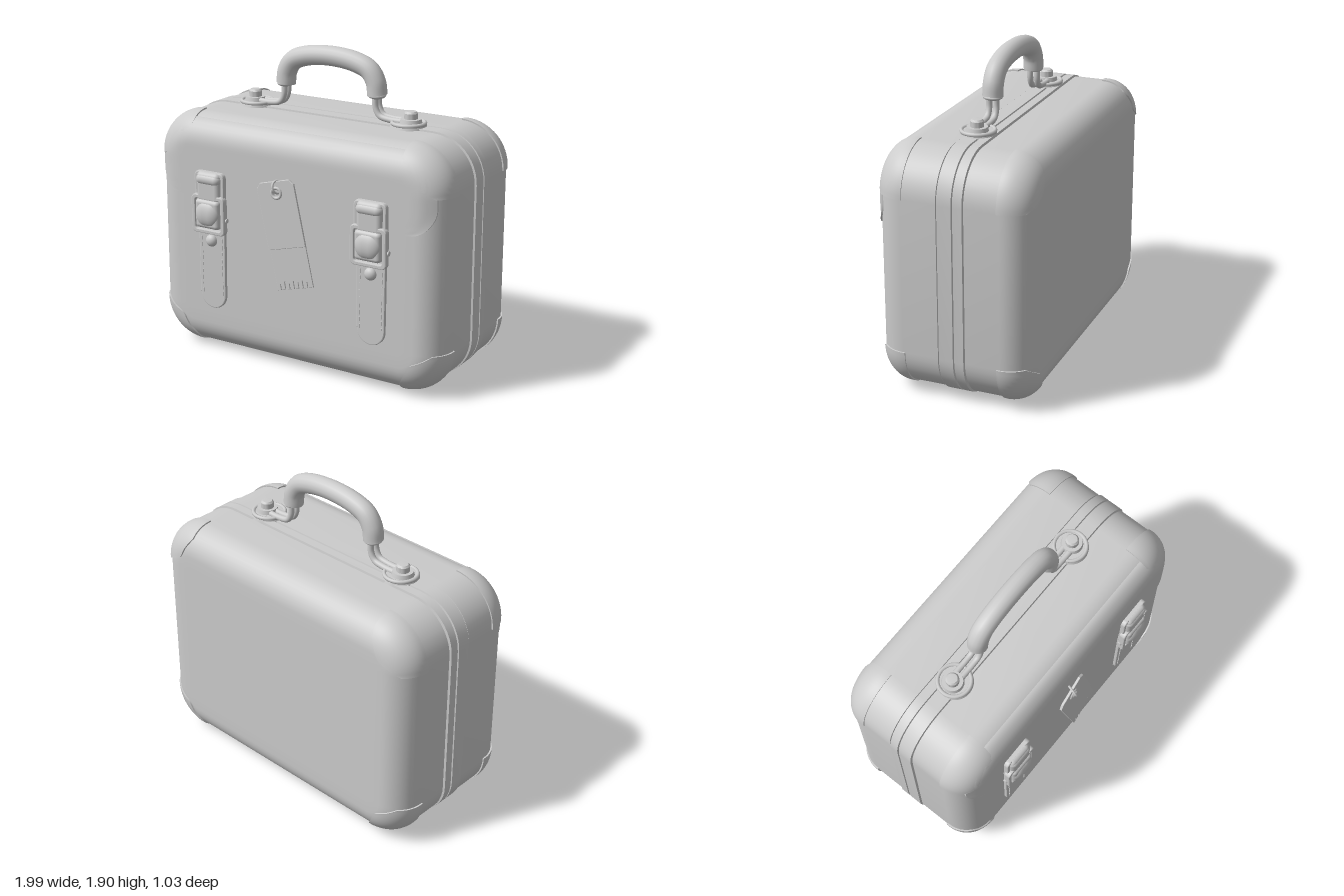
import * as THREE from 'three';
import { toCreasedNormals } from 'three/addons/utils/BufferGeometryUtils.js';
import { RoundedBoxGeometry } from 'three/addons/geometries/RoundedBoxGeometry.js';

const mat = new THREE.MeshStandardMaterial({ color: 0xcccccc });
// Case dimensions: half width, bottom, top, back, front, corner radius, edge radius
const HW = 0.985, Y0 = 0.015, Y1 = 1.48, ZB = -0.51, ZF = 0.42, R = 0.27, E = 0.17;
const CX = HW - R, CY = (Y0 + Y1) / 2, HY = (Y1 - Y0) / 2;

function add(parent, name, geo, x = 0, y = 0, z = 0) {
  const m = new THREE.Mesh(geo, mat);
  m.name = name;
  m.position.set(x, y, z);
  parent.add(m);
  return m;
}

// Surface through fn(i, j) => [x, y, z]; i x j order faces outwards unless flipped
function grid(nu, nv, fn, flip = false) {
  const pos = [], idx = [];
  for (let i = 0; i <= nu; i++) for (let j = 0; j <= nv; j++) pos.push(...fn(i, j));
  for (let i = 0; i < nu; i++) for (let j = 0; j < nv; j++) {
    const a = i * (nv + 1) + j, b = a + 1, c = a + nv + 1, d = c + 1;
    if (flip) idx.push(a, b, d, a, d, c);
    else idx.push(a, d, b, a, c, d);
  }
  const g = new THREE.BufferGeometry();
  g.setAttribute('position', new THREE.Float32BufferAttribute(pos, 3));
  g.setIndex(idx);
  return toCreasedNormals(g, 0.7);
}

// Depth of the front face at x, y, following its rounded edge
function frontZ(x, y) {
  const qx = Math.abs(x) - CX, qy = Math.abs(y - CY) - (HY - R);
  const sd = Math.hypot(Math.max(qx, 0), Math.max(qy, 0)) + Math.min(Math.max(qx, qy), 0) - R;
  const d = Math.max(-sd, 0);
  return d >= E ? ZF : ZF - E + Math.sqrt(E * E - (E - d) ** 2);
}

function roundedRect(w, h, r, Path = THREE.Shape) {
  const s = new Path(), a = w / 2 - r, b = h / 2 - r;
  s.absarc(a, b, r, 0, Math.PI / 2);
  s.absarc(-a, b, r, Math.PI / 2, Math.PI);
  s.absarc(-a, -b, r, Math.PI, Math.PI * 1.5);
  s.absarc(a, -b, r, Math.PI * 1.5, Math.PI * 2);
  s.closePath();
  return s;
}

function slab(shape, depth, bevel = 0.006) {
  return new THREE.ExtrudeGeometry(shape, {
    depth: depth - 2 * bevel, bevelSize: bevel, bevelOffset: -bevel, bevelThickness: bevel, bevelSegments: 2, curveSegments: 10,
  }).translate(0, 0, bevel);
}

function frame(w, h, bar, depth) {
  const s = roundedRect(w, h, 0.03);
  s.holes.push(roundedRect(w - 2 * bar, h - 2 * bar, 0.015, THREE.Path));
  return slab(s, depth);
}

// Case shell: rounded-rectangle loops from back to front with the raised seam band
function caseGeometry() {
  const prof = [[null, ZB], [0.25, ZB]];
  for (let i = 0; i <= 10; i++) {
    const a = (1 - i / 10) * Math.PI / 2;
    prof.push([E * (1 - Math.cos(a)), ZB + E - E * Math.sin(a)]);
  }
  prof.push([0, -0.137], [0.008, -0.135], [0.008, -0.13], [-0.008, -0.127], [-0.008, -0.075], [0.004, -0.072],
    [0.004, -0.066], [-0.008, -0.063], [-0.008, 0.022], [0.008, 0.025], [0.008, 0.03], [0, 0.032]);
  for (let i = 0; i <= 10; i++) {
    const a = i / 10 * Math.PI / 2;
    prof.push([E * (1 - Math.cos(a)), ZF - E + E * Math.sin(a)]);
  }
  prof.push([0.25, ZF], [null, ZF]);
  const n = 12, loop = [];
  for (let q = 0; q < 4; q++) for (let i = 0; i <= n; i++) {
    const sx = q === 0 || q === 3 ? 1 : -1, sy = q < 2 ? 1 : -1;
    loop.push([sx * CX, CY + sy * (HY - R), (q + i / n) * Math.PI / 2]);
  }
  loop.push(loop[0]);
  return grid(prof.length - 1, loop.length - 1, (i, j) => {
    const [d, z] = prof[i], [cx, cy, a] = loop[j];
    return d === null ? [0, CY, z] : [cx + (R - d) * Math.cos(a), cy + (R - d) * Math.sin(a), z];
  }, true);
}

// Corner guard: raised patch over one rounded corner, its edge turned in to the case
function guardGeometry(sx, sy, front) {
  const n = 18, s = front ? 1 : -1;
  return grid(n, n, (i, j) => {
    const u = (Math.min(Math.max(i, 1), n - 1) - 1) / (n - 2), v = (Math.min(Math.max(j, 1), n - 1) - 1) / (n - 2);
    const off = i === 0 || j === 0 || i === n || j === n ? -0.006 : 0.009;
    const phi = u * Math.PI / 2;
    const reach = 0.06 + 0.1 * Math.sin(2 * phi) ** 0.8;
    const a = -0.08 + v * (Math.acos(1 - reach / E) + 0.08);
    const rad = R - E + (E + off) * Math.cos(a);
    const z = (front ? ZF - E : ZB + E) + s * (E + off) * Math.sin(a);
    return [sx * (CX + rad * Math.cos(phi)), CY + sy * (HY - R + rad * Math.sin(phi)), z];
  }, sx * sy * s < 0);
}

// Front flap: thin sheet lying on the front face, lower corners rounded
function flapGeometry() {
  const n = 40, m = 32, low = 0.99, high = 1.455, r = 0.16;
  return grid(n, m, (i, j) => {
    const v = (Math.min(Math.max(j, 1), m - 1) - 1) / (m - 2), u = (Math.min(Math.max(i, 1), n - 1) - 1) / (n - 2);
    const y = low + (high - low) * v ** 1.5;
    let w = 0.935;
    if (y < low + r) w -= r - Math.sqrt(r * r - (low + r - y) ** 2);
    const up = Math.max(y - (Y1 - R), 0);
    w = Math.min(w, CX + Math.sqrt(R * R - up * up) - 0.04);
    const x = (2 * u - 1) * w;
    const edge = i === 0 || i === n || j === 0 || j === m;
    return [x, y, frontZ(x, y) + (edge ? -0.008 : 0.011)];
  });
}

function buckleStrap(x) {
  const g = new THREE.Group();
  g.name = 'buckleStrap';
  g.position.x = x;
  // Hanging strap with rounded end, stitching and rivet
  const s = new THREE.Shape();
  s.moveTo(0.095, 0.86);
  s.lineTo(-0.095, 0.86);
  s.lineTo(-0.095, 0.385);
  s.absarc(0, 0.385, 0.09, Math.PI, Math.PI * 2);
  s.lineTo(0.095, 0.86);
  add(g, 'strap', slab(s, 0.03), 0, 0, 0.41);
  for (const side of [-1, 1]) for (let i = 0; i < 9; i++)
    add(g, 'stitch', new THREE.BoxGeometry(0.008, 0.026, 0.008), side * 0.072, 0.4 + i * 0.042, 0.44);
  add(g, 'rivet', new THREE.SphereGeometry(0.038, 20, 12).scale(1, 1, 0.8), 0, 0.73, 0.442);
  // Leather loop on the flap, metal frames and keeper
  add(g, 'strapLoop', new RoundedBoxGeometry(0.165, 0.19, 0.07, 4, 0.03), 0, 1.065, 0.447);
  add(g, 'strapLoopFold', new THREE.CapsuleGeometry(0.036, 0.1, 6, 14).rotateZ(Math.PI / 2), 0, 1.115, 0.455);
  add(g, 'upperFrame', frame(0.21, 0.3, 0.022, 0.035), 0, 1.01, 0.425);
  add(g, 'lowerFrame', frame(0.235, 0.24, 0.026, 0.04), 0, 0.9, 0.44);
  const keeper = new THREE.CapsuleGeometry(0.07, 0.04, 8, 20).rotateZ(Math.PI / 2).scale(0.94, 1.15, 0.6);
  add(g, 'keeper', keeper, 0, 0.905, 0.472);
  add(g, 'keeperPlate', new RoundedBoxGeometry(0.17, 0.18, 0.07, 4, 0.025), 0, 0.905, 0.46);
  add(g, 'hingePin', new THREE.CylinderGeometry(0.014, 0.014, 0.25, 12).rotateZ(Math.PI / 2), 0, 0.875, 0.452);
  return g;
}

function luggageTag() {
  const g = new THREE.Group();
  g.name = 'tag';
  g.position.set(-0.005, 0.87, 0.468);
  g.rotation.set(-0.05, 0.1, 0.235);
  // Upper panel with clipped corners and eyelet hole
  const top = new THREE.Shape();
  [[-0.122, -0.08], [0.122, -0.08], [0.122, 0.29], [0.095, 0.32], [-0.095, 0.32], [-0.122, 0.29]]
    .forEach(([x, y], i) => (i ? top.lineTo(x, y) : top.moveTo(x, y)));
  top.holes.push(new THREE.Path().absarc(0, 0.25, 0.022, 0, Math.PI * 2));
  add(g, 'tagPanel', slab(top, 0.016, 0.003), 0, 0, -0.004);
  // Lower panel with a comb-like torn edge
  const low = new THREE.Shape();
  low.moveTo(0.118, -0.05);
  low.lineTo(-0.118, -0.05);
  const teeth = 8, w = 0.236 / teeth;
  for (let i = 0; i < teeth; i++) {
    const x = -0.118 + i * w, notch = -0.325 + 0.035 + 0.012 * (i % 2);
    low.lineTo(x, -0.325);
    low.lineTo(x + w * 0.72, -0.325);
    if (i < teeth - 1) {
      low.lineTo(x + w * 0.76, notch);
      low.lineTo(x + w * 0.96, notch);
    }
  }
  low.lineTo(0.118, -0.325);
  add(g, 'tagStub', slab(low, 0.01, 0.002), 0, 0, -0.008);
  add(g, 'eyelet', new THREE.TorusGeometry(0.03, 0.009, 8, 24), 0, 0.25, 0.012);
  const ring = add(g, 'tagRing', new THREE.TorusGeometry(0.036, 0.007, 8, 24), 0.01, 0.285, 0.005);
  ring.rotation.y = 1.2;
  return g;
}

function tube(points, r, seg = 32) {
  const c = new THREE.CatmullRomCurve3(points.map(p => new THREE.Vector3(...p)));
  return new THREE.TubeGeometry(c, seg, r, 16);
}

function handle() {
  const g = new THREE.Group();
  g.name = 'handle';
  g.position.z = -0.025;
  // Padded grip, closed by rounded ends
  const half = [[0.316, 1.64, 0], [0.305, 1.715, 0], [0.262, 1.78, 0], [0.17, 1.818, 0]];
  const mirrored = half.map(([x, y, z]) => [-x, y, z]);
  add(g, 'grip', tube([...mirrored, [0, 1.836, 0], ...half.slice().reverse()], 0.06, 64));
  for (const s of [-1, 1]) {
    add(g, 'gripEnd', new THREE.SphereGeometry(0.059, 20, 12).scale(0.85, 0.35, 1), s * 0.316, 1.638, 0);
    // Twin bent rods down to the anchor plate
    for (const z of [-0.022, 0.022])
      add(g, 'handleRod', tube([[s * 0.316, 1.66, z], [s * 0.318, 1.57, z], [s * 0.345, 1.525, z], [s * 0.41, 1.51, z], [s * 0.53, 1.51, z]], 0.018));
    add(g, 'anchorPlate', new THREE.CylinderGeometry(0.1, 0.11, 0.03, 36), s * 0.525, 1.49, 0);
    add(g, 'anchorRim', new THREE.TorusGeometry(0.095, 0.012, 8, 36).rotateX(Math.PI / 2), s * 0.525, 1.503, 0);
    add(g, 'anchorCollar', new THREE.CylinderGeometry(0.06, 0.066, 0.025, 28), s * 0.54, 1.517, 0);
    const stud = [[0, 1.575], [0.03, 1.573], [0.039, 1.562], [0.039, 1.5]].reverse().map(p => new THREE.Vector2(...p));
    add(g, 'anchorStud', toCreasedNormals(new THREE.LatheGeometry(stud, 24), 0.6), s * 0.54, 0, 0);
  }
  return g;
}

export function createModel() {
  const root = new THREE.Group();
  root.name = 'suitcase';
  add(root, 'caseShell', caseGeometry());
  add(root, 'flap', flapGeometry());
  for (const sx of [-1, 1]) {
    for (const sy of [-1, 1]) for (const front of [true, false])
      add(root, 'cornerGuard', guardGeometry(sx, sy, front));
    root.add(buckleStrap(sx * 0.552));
    // Slim runner foot with a knob at each end
    add(root, 'footRunner', new THREE.CylinderGeometry(0.013, 0.013, 0.44, 12).rotateX(Math.PI / 2), sx * 0.62, 0.013, -0.015);
    for (const z of [-0.235, 0.205])
      add(root, 'footKnob', new THREE.SphereGeometry(0.03, 16, 10).scale(1, 0.5, 1), sx * 0.62, 0.015, z);
  }
  root.add(luggageTag(), handle());
  return root;
}
